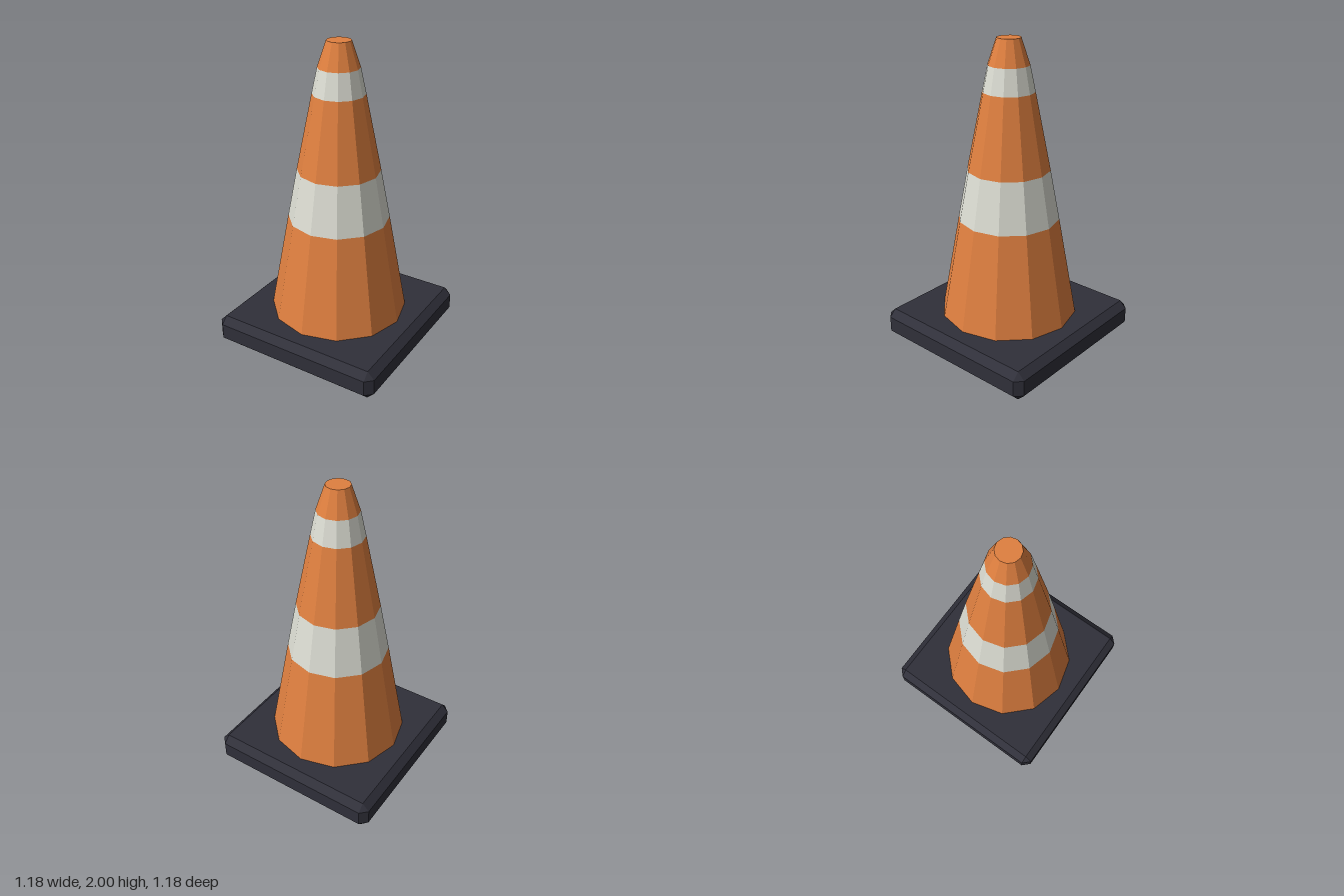
import * as THREE from 'three';
import { ConvexGeometry } from 'three/addons/geometries/ConvexGeometry.js';

const paint = (name, color) => {
  const m = new THREE.MeshStandardMaterial({ color, flatShading: true });
  m.name = name;
  return m;
};

// Box with every edge cut at 45 degrees
function chamferedBox(w, h, d, c) {
  const points = [];
  const [x, y, z] = [w / 2, h / 2, d / 2];
  for (const sx of [-1, 1]) for (const sy of [-1, 1]) for (const sz of [-1, 1]) {
    points.push(
      new THREE.Vector3(sx * x, sy * (y - c), sz * (z - c)),
      new THREE.Vector3(sx * (x - c), sy * y, sz * (z - c)),
      new THREE.Vector3(sx * (x - c), sy * (y - c), sz * z));
  }
  return new ConvexGeometry(points);
}

export function createModel() {
  const orange = paint('orange', 0xe08040);
  const white = paint('off white', 0xdcddd3);
  const rubber = paint('dark rubber', 0x30303a);
  const group = new THREE.Group();
  group.name = 'trafficCone';

  const add = (name, geometry, material, y) => {
    const mesh = new THREE.Mesh(geometry, material);
    mesh.name = name;
    mesh.position.y = y;
    group.add(mesh);
  };

  // Square foot
  add('base', chamferedBox(1.176, 0.195, 1.176, 0.046), rubber, 0.0975);

  // Twelve-sided cone in stacked bands: name, bottom y, bottom radius, material
  const bands = [
    ['lowerCone', 0.195, 0.45, orange],
    ['wideStripe', 0.857, 0.328, white],
    ['middleCone', 1.183, 0.266, orange],
    ['narrowStripe', 1.677, 0.165, white],
    ['tip', 1.838, 0.131, orange],
    ['top', 2, 0.076, orange],
  ];
  for (let i = 0; i < bands.length - 1; i++) {
    const [name, y0, r0, material] = bands[i];
    const [, y1, r1] = bands[i + 1];
    add(name, new THREE.CylinderGeometry(r1, r0, y1 - y0, 12, 1, true), material, (y0 + y1) / 2);
  }

  // Flat cap closing the tip
  add('tipCap', new THREE.CircleGeometry(0.076, 12).rotateX(-Math.PI / 2), orange, 2);
  return group;
}
